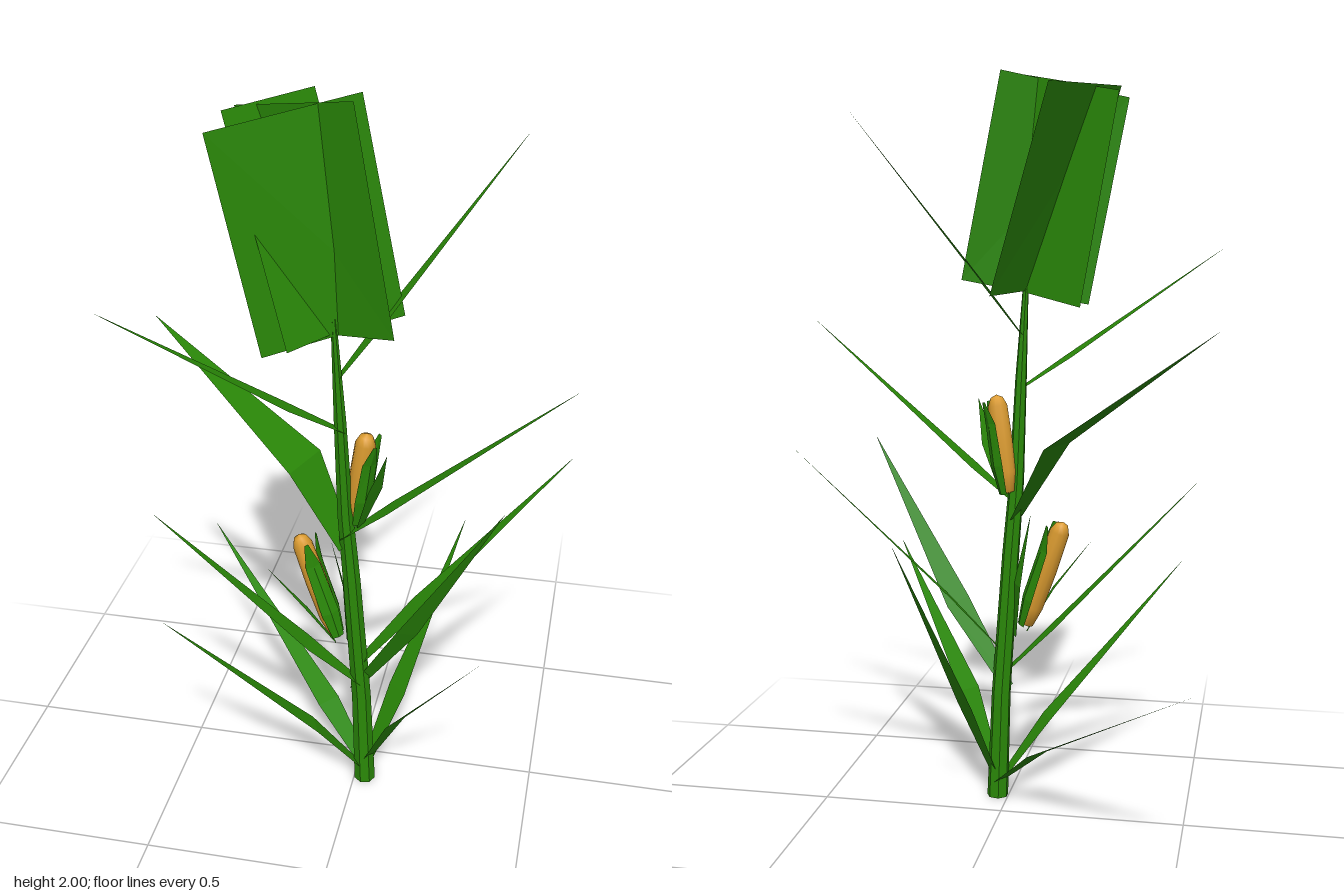
import * as THREE from 'three';

const green = new THREE.MeshStandardMaterial({ color: 0x2a8808, flatShading: true, side: THREE.DoubleSide });
green.name = 'leaf green';
const gold = new THREE.MeshStandardMaterial({ color: 0xdc9c30 });
gold.name = 'kernel gold';

const V = (p) => new THREE.Vector3(...p);
const UP = new THREE.Vector3(0, 1, 0);

function add(parent, name, geometry, material) {
  const mesh = new THREE.Mesh(geometry, material);
  mesh.name = name;
  parent.add(mesh);
  return mesh;
}

// Builds a surface between consecutive rows of points
function loft(rows) {
  const n = rows[0].length, index = [];
  for (let r = 0; r < rows.length - 1; r++) {
    for (let i = 0; i < n - 1; i++) {
      const a = r * n + i, b = a + n;
      index.push(a, a + 1, b, a + 1, b + 1, b);
    }
  }
  const g = new THREE.BufferGeometry();
  g.setAttribute('position', new THREE.Float32BufferAttribute(rows.flat().flatMap((p) => p.toArray()), 3));
  g.setIndex(index);
  g.computeVertexNormals();
  return g;
}

// Pointed flat blade: narrow base, widest at the elbow, rolled about its own axis
function blade(base, elbow, tip, half, roll = 0) {
  const [b, e, t] = [base, elbow, tip].map(V);
  const axis = t.clone().sub(b).normalize();
  const side = new THREE.Vector3().crossVectors(axis, UP).normalize().applyAxisAngle(axis, roll);
  const row = (c, w) => [-1, 1].map((s) => c.clone().addScaledVector(side, s * w));
  return loft([row(b, half * 0.45), row(e, half), row(t, 0.0005)]);
}

// Ear of kernels with a husk on one side, built upright and then leaned along its axis
function ear(name, base, top, turn) {
  const group = new THREE.Group();
  group.name = name;
  const a = V(base), d = V(top).sub(a), h = d.length();
  const profile = [[0, 0], [0.018, 0.005], [0.028, 0.06], [0.03, h * 0.55], [0.027, h - 0.03], [0.017, h - 0.008], [0, h]]
    .map(([x, y]) => new THREE.Vector2(x, y));
  add(group, 'kernels', new THREE.LatheGeometry(profile, 12), gold);
  for (const offset of [-0.85, 0.85]) {
    const rows = [[0, 0.024, 0.75], [0.08, 0.037, 0.75], [h * 0.72, 0.038, 0.6], [h * 0.94, 0.046, 0.12]].map(([y, r, w]) =>
      [-1, 0, 1].map((s) => {
        const t = turn + offset + s * w;
        return new THREE.Vector3(Math.cos(t) * r, y, Math.sin(t) * r);
      }));
    add(group, 'husk', loft(rows), green);
  }
  group.position.copy(a);
  group.quaternion.setFromUnitVectors(UP, d.normalize());
  return group;
}

export function createModel() {
  const plant = new THREE.Group();
  plant.name = 'cornPlant';

  // Stalk: leaning, tapered rings
  const rings = [[0.03, 0, 0.11, 0.03], [0.02, 0.3, 0.11, 0.027], [-0.005, 0.7, 0.12, 0.024],
    [-0.02, 0.9, 0.125, 0.021], [-0.03, 1.18, 0.135, 0.016], [-0.042, 1.46, 0.145, 0.007]];
  const stalk = rings.map(([x, y, z, r]) => Array.from({ length: 8 }, (_, i) => {
    const t = -i / 7 * Math.PI * 2;
    return new THREE.Vector3(x + Math.cos(t) * r, y, z + Math.sin(t) * r);
  }));
  add(plant, 'stalk', loft(stalk), green);

  // Leaves: base, elbow, tip, half width, roll
  const leaves = [
    [[0.04, 0.03, 0.11], [-0.1, 0.17, 0.0], [-0.54, 0.49, -0.39], 0.035],
    [[0.04, 0.02, 0.11], [-0.1, 0.22, 0.17], [-0.46, 0.645, 0.345], 0.035],
    [[0.02, 0.03, 0.1], [0.13, 0.28, 0.19], [0.375, 0.665, 0.385], 0.035],
    [[0.03, 0.04, 0.11], [0.11, 0.28, 0.04], [0.265, 0.76, -0.13], 0.035],
    [[0.02, 0.35, 0.12], [-0.12, 0.49, 0.15], [-0.51, 0.9, 0.225], 0.035],
    [[0.0, 0.32, 0.11], [0.15, 0.55, 0.14], [0.4, 1.0, 0.21], 0.035, -0.75],
    [[0.0, 0.4, 0.12], [0.16, 0.59, 0.06], [0.545, 1.01, -0.09], 0.035],
    [[-0.02, 0.8, 0.12], [-0.14, 1.01, 0.065], [-0.57, 1.33, -0.07], 0.075],
    [[-0.03, 0.83, 0.13], [0.1, 0.94, 0.135], [0.555, 1.33, 0.165], 0.035],
    [[-0.02, 1.15, 0.135], [-0.15, 1.24, 0.2], [-0.555, 1.53, 0.38], 0.03],
    [[-0.04, 1.29, 0.14], [0.06, 1.43, 0.1], [0.385, 1.88, -0.05], 0.022],
  ];
  for (const leaf of leaves) add(plant, 'leaf', blade(...leaf), green);

  // Ears with loose husk tips
  plant.add(ear('lowerEar', [-0.05, 0.5, 0.11], [-0.155, 0.8, 0.09], 0.15));
  plant.add(ear('upperEar', [0.0, 0.87, 0.105], [0.035, 1.14, 0.115], 0.0));
  const tips = [
    [[-0.05, 0.48, 0.12], [-0.12, 0.6, 0.15], [-0.22, 0.73, 0.17], 0.012],
    [[-0.02, 0.47, 0.1], [-0.03, 0.62, 0.08], [-0.06, 0.81, 0.12], 0.03],
    [[0.02, 0.87, 0.13], [0.065, 1.0, 0.16], [0.1, 1.12, 0.19], 0.025],
  ];
  for (const tip of tips) add(plant, 'huskTip', blade(...tip), green);

  // Tassel: three crossed flat panels (top edge, bottom edge)
  const panels = [
    [[-0.3, 1.93, 0.03], [0.02, 2.0, 0.2], [-0.2, 1.38, 0.06], [0.12, 1.45, 0.22]],
    [[-0.3, 1.935, 0.28], [0.02, 1.995, 0.1], [-0.2, 1.38, 0.23], [0.12, 1.45, 0.07]],
    [[-0.29, 1.955, 0.17], [-0.145, 1.94, -0.135], [-0.12, 1.43, 0.295], [0.03, 1.41, 0.0]],
  ];
  for (const [a, b, c, d] of panels) add(plant, 'tasselPanel', loft([[V(c), V(d)], [V(a), V(b)]]), green);

  return plant;
}
